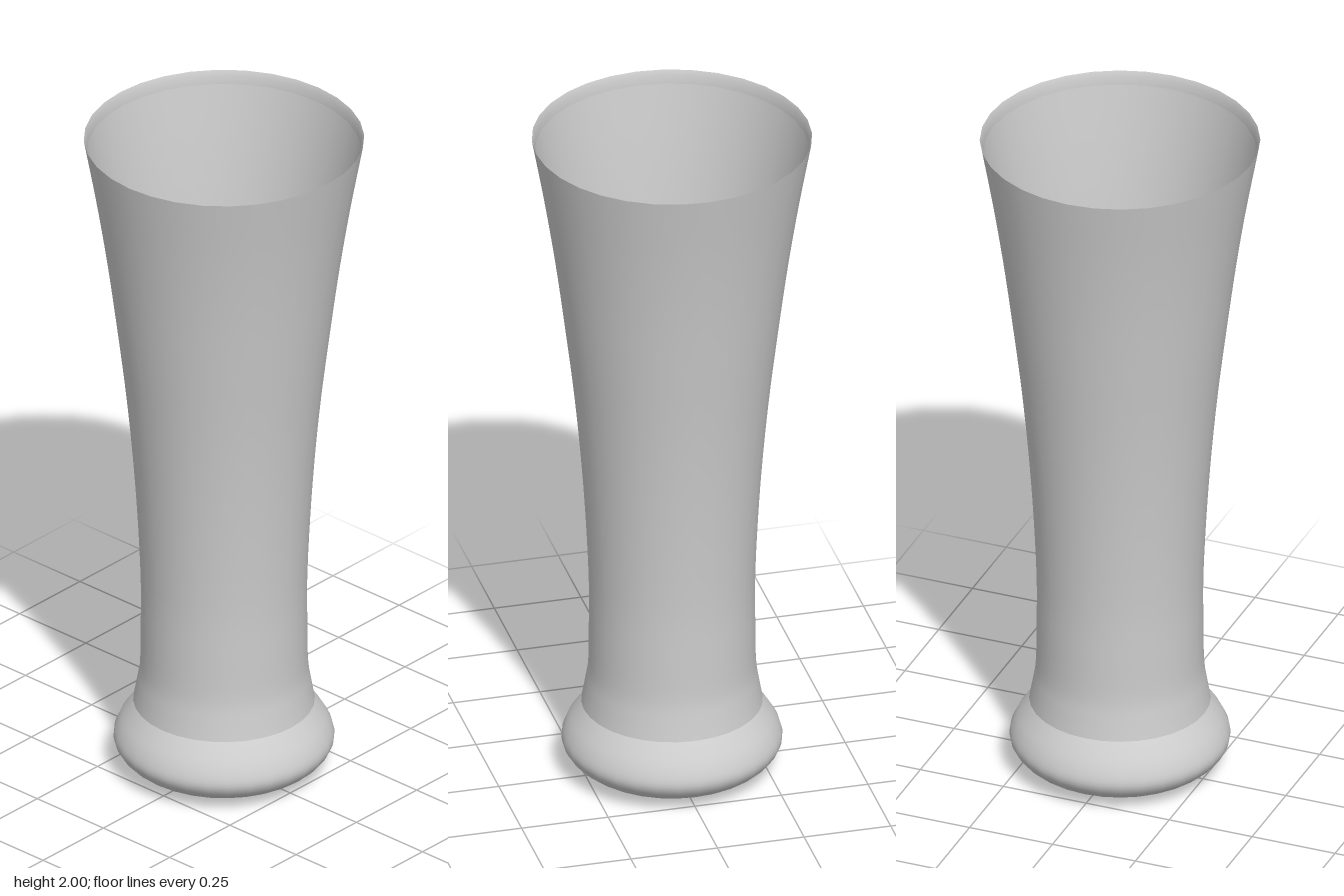
import * as THREE from 'three';

const SIDES = 32;

// Revolve a smooth curve through a few [radius, height] points, listed bottom to top
function revolve(name, profile, steps) {
  const points = profile.map(([r, y]) => new THREE.Vector2(r, y));
  const outline = steps ? new THREE.SplineCurve(points).getPoints(steps) : points;
  outline.forEach((p) => { p.x = Math.max(p.x, 0); p.y = Math.max(p.y, 0); });
  const material = new THREE.MeshStandardMaterial({ color: 0xcccccc, side: THREE.DoubleSide });
  const mesh = new THREE.Mesh(new THREE.LatheGeometry(outline, SIDES), material);
  mesh.name = name;
  return mesh;
}

export function createModel() {
  const glass = new THREE.Group();
  glass.name = 'tallGlass';

  // Thin flared wall, with a small skirt where it meets the foot
  glass.add(revolve('wall', [
    [0.254, 0.21], [0.244, 0.265], [0.235, 0.33], [0.233, 0.45], [0.233, 0.6],
    [0.242, 0.8], [0.256, 1], [0.275, 1.2], [0.299, 1.4], [0.325, 1.6],
    [0.356, 1.8], [0.392, 2],
  ], 40));

  // Narrow lip sloping into the mouth
  glass.add(revolve('lip', [[0.383, 1.96], [0.385, 1.985], [0.392, 2]]));

  // Hollow rounded foot with a closed, nearly flat floor
  glass.add(revolve('foot', [
    [0, 0], [0.1, 0.001], [0.17, 0.006], [0.22, 0.018], [0.265, 0.037],
    [0.297, 0.066], [0.309, 0.1], [0.294, 0.142], [0.265, 0.183], [0.238, 0.215],
  ], 32));

  return glass;
}
